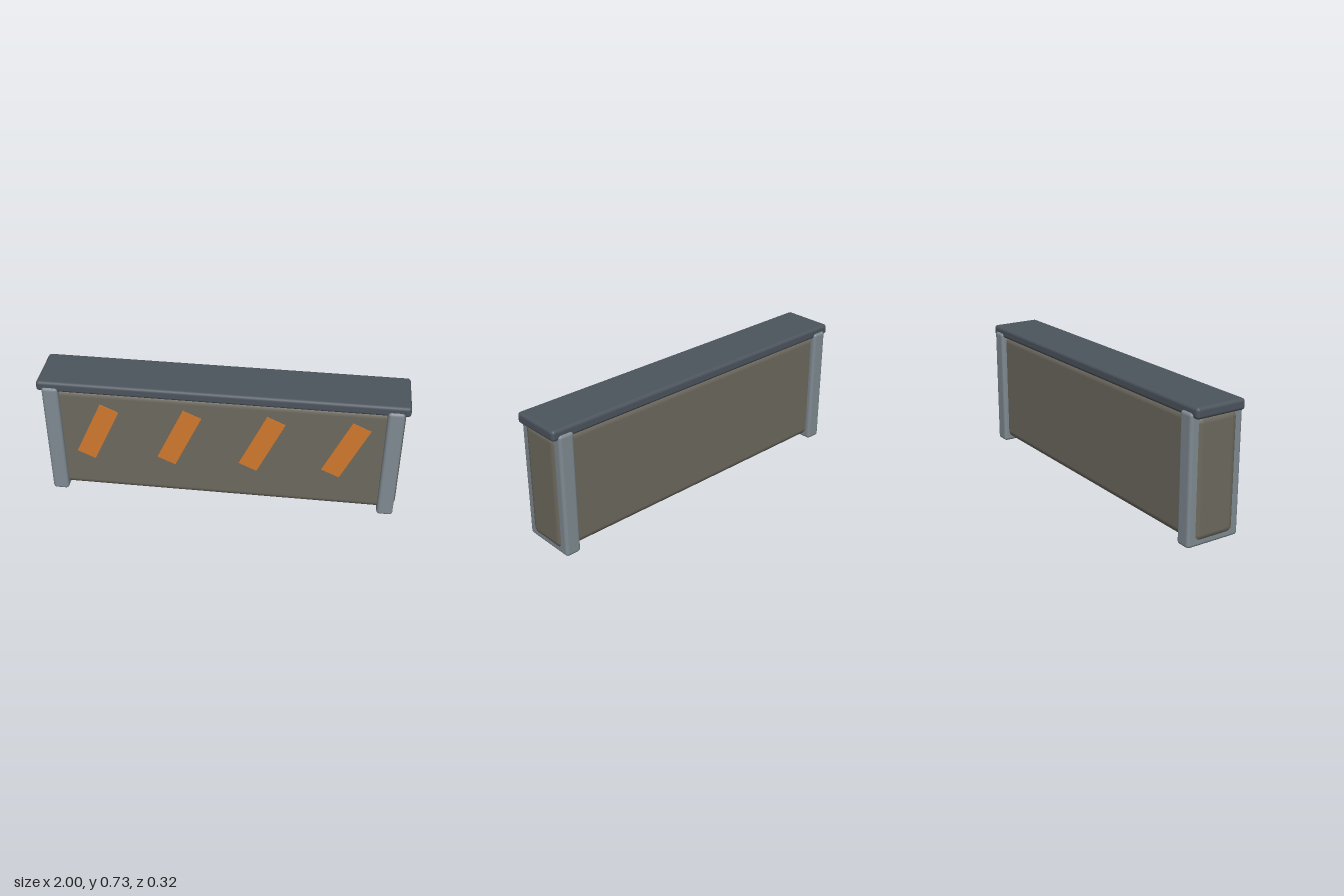
import * as THREE from 'three';
import { RoundedBoxGeometry } from 'three/addons/geometries/RoundedBoxGeometry.js';

const paint = (name, color) => {
  const material = new THREE.MeshStandardMaterial({ color });
  material.name = name;
  return material;
};

export function createModel() {
  const model = new THREE.Group();
  model.name = 'barrier';

  const stone = paint('warm grey', 0x6d695f);
  const steel = paint('light steel grey', 0x7f8a91);
  const slate = paint('dark slate', 0x4c545d);
  const orange = paint('warning orange', 0xd0782c);

  const add = (name, geometry, material, x, y, z) => {
    const mesh = new THREE.Mesh(geometry, material);
    mesh.name = name;
    mesh.position.set(x, y, z);
    model.add(mesh);
    return mesh;
  };

  // Main wall, its ends showing just beyond the end frames
  add('wall', new RoundedBoxGeometry(1.96, 0.66, 0.26, 3, 0.045), stone, 0, 0.35, 0);

  // Top rail
  add('topRail', new RoundedBoxGeometry(2, 0.06, 0.296, 3, 0.018), slate, 0, 0.698, 0);

  // End frames
  for (const side of [-1, 1]) {
    add(side > 0 ? 'leftFrame' : 'rightFrame',
      new RoundedBoxGeometry(0.09, 0.696, 0.318, 3, 0.018), steel, side * 0.925, 0.348, 0);
  }

  // Slanted warning stripes on the front only
  for (let i = 0; i < 4; i++) {
    const stripe = add(`stripe${i + 1}`, new THREE.BoxGeometry(0.11, 0.358, 0.008),
      orange, (i - 1.5) * 0.455 - 0.002, 0.412, 0.131);
    stripe.rotation.z = -0.43;
  }

  return model;
}
